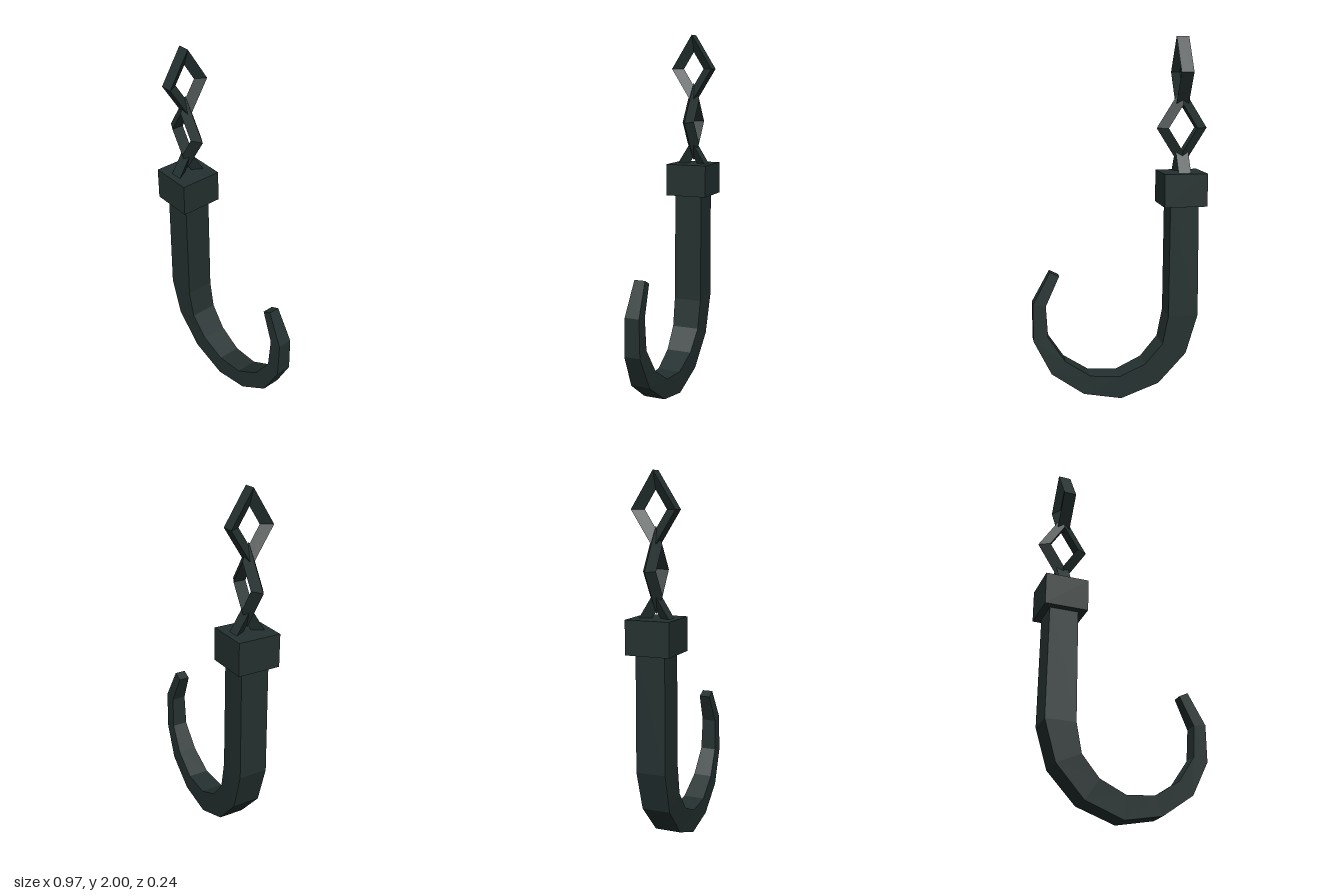
import * as THREE from 'three';

const CHAIN_X = -0.347;

// Split faces so every facet keeps its own normal
function faceted(geometry) {
  const flat = geometry.index ? geometry.toNonIndexed() : geometry;
  flat.computeVertexNormals();
  return flat;
}

// Tapered hook: rectangular sections [outer x, outer y, inner x, inner y, half depth]
function hookGeometry() {
  const sections = [
    [-0.428, 1.12, -0.270, 1.12, 0.080],
    [-0.432, 0.47, -0.265, 0.47, 0.081],
    [-0.367, 0.25, -0.233, 0.31, 0.078],
    [-0.212, 0.08, -0.135, 0.195, 0.072],
    [0.0, 0.0, 0.01, 0.128, 0.065],
    [0.21, 0.038, 0.172, 0.14, 0.060],
    [0.388, 0.162, 0.312, 0.232, 0.053],
    [0.484, 0.352, 0.404, 0.372, 0.044],
    [0.484, 0.56, 0.414, 0.548, 0.040],
    [0.388, 0.737, 0.338, 0.712, 0.030],
  ];
  const positions = [];
  const index = [];
  for (const [ox, oy, ix, iy, d] of sections) {
    positions.push(ox, oy, d, ix, iy, d, ix, iy, -d, ox, oy, -d);
  }
  const quad = (a, b, c, d) => index.push(a, b, c, a, c, d);
  const last = (sections.length - 1) * 4;
  for (let s = 0; s < last; s += 4) {
    for (let k = 0; k < 4; k++) {
      const n = (k + 1) % 4;
      quad(s + k, s + 4 + k, s + 4 + n, s + n);
    }
  }
  quad(0, 1, 2, 3);
  quad(last + 3, last + 2, last + 1, last);
  const geometry = new THREE.BufferGeometry();
  geometry.setAttribute('position', new THREE.Float32BufferAttribute(positions, 3));
  geometry.setIndex(index);
  return faceted(geometry);
}

// Diamond link with a three-sided bar; a negative radius turns the flat side outwards
function linkGeometry(barRadius) {
  return faceted(new THREE.TorusGeometry(0.1, barRadius, 3, 4).scale(1, 1.58, 1));
}

export function createModel() {
  const group = new THREE.Group();
  const iron = new THREE.MeshStandardMaterial({ color: 0x243130 });
  iron.name = 'darkIron';

  const add = (name, geometry) => {
    const mesh = new THREE.Mesh(geometry, iron);
    mesh.name = name;
    group.add(mesh);
    return mesh;
  };

  add('hook', hookGeometry());

  // Square block joining hook and chain
  add('collar', new THREE.BoxGeometry(0.238, 0.18, 0.24)).position.set(CHAIN_X, 1.18, 0);

  // Chain links, alternately turned a quarter
  for (let i = 0; i < 3; i++) {
    const turned = i % 2 === 0;
    const link = add(`chainLink${i + 1}`, linkGeometry(turned ? -0.04 : 0.04));
    link.position.set(CHAIN_X, 1.21 + i * 0.3, 0);
    if (turned) link.rotation.y = Math.PI / 2;
  }
  return group;
}
